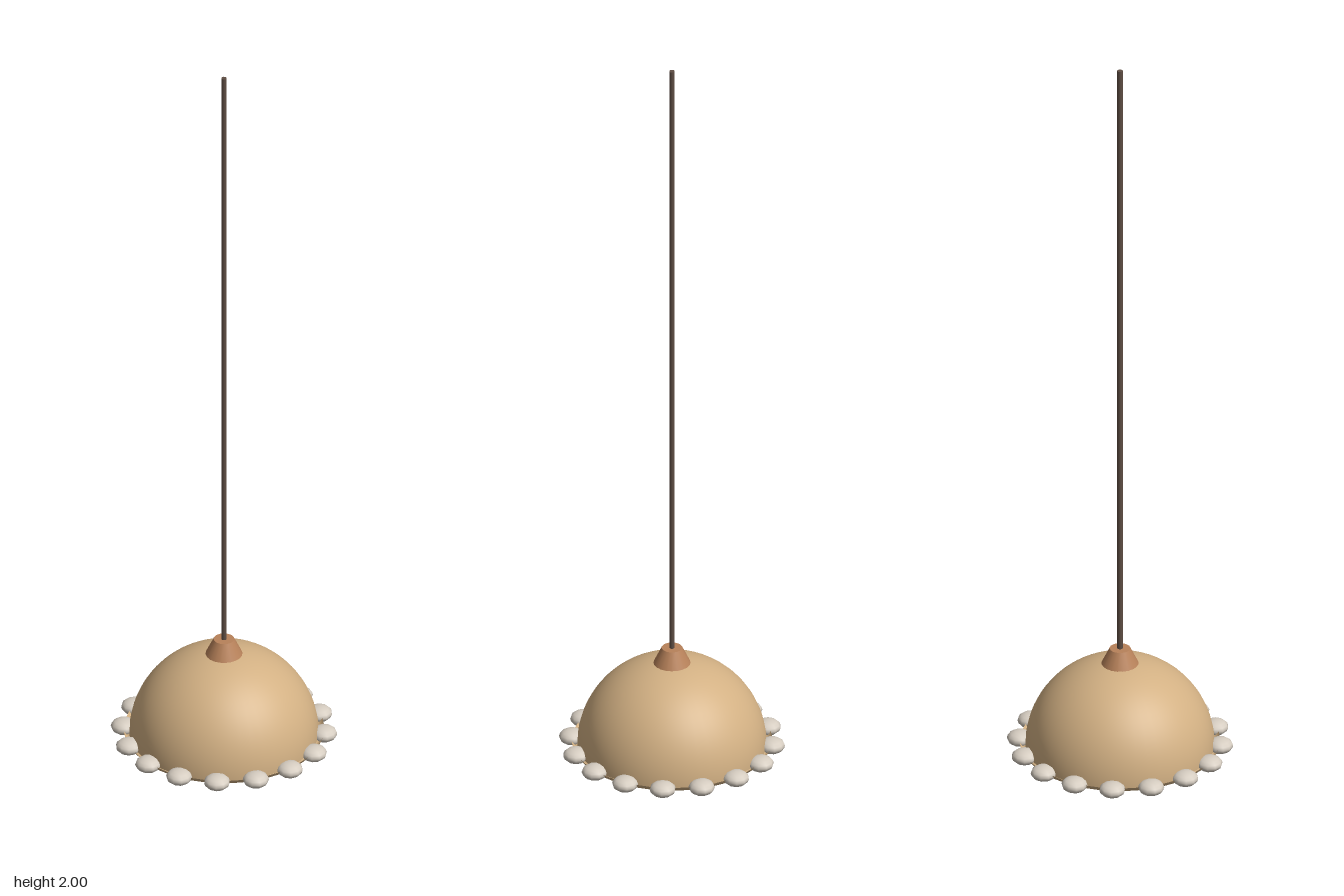
import * as THREE from 'three';

function material(name, color, side = THREE.FrontSide) {
  const m = new THREE.MeshStandardMaterial({ color, side });
  m.name = name;
  return m;
}

export function createModel() {
  const model = new THREE.Group();
  model.name = 'pendantLamp';

  const tan = material('tan shade', 0xd2b083, THREE.DoubleSide);
  const copper = material('copper', 0xb8825a);
  const brown = material('dark brown', 0x5f4e44);
  const cream = material('cream', 0xd6cdc1);

  const add = (name, geometry, mat, y = 0, parent = model) => {
    const mesh = new THREE.Mesh(geometry, mat);
    mesh.name = name;
    mesh.position.y = y;
    parent.add(mesh);
    return mesh;
  };

  const rimY = 0.08;

  // Hanging rod and the tapered cap it enters
  add('rod', new THREE.CylinderGeometry(0.007, 0.007, 1.66, 12), brown, 1.17);
  add('cap', new THREE.CylinderGeometry(0.026, 0.05, 0.05, 20), copper, 0.33);

  // Hemispherical shade
  add('shade', new THREE.SphereGeometry(0.237, 48, 24, 0, Math.PI * 2, 0, Math.PI / 2), tan, rimY);

  // Small lip turned up around the shade's edge
  const lip = [[0.237, 0.003], [0.243, 0], [0.251, 0.012]].map(([r, y]) => new THREE.Vector2(r, y));
  add('lip', new THREE.LatheGeometry(lip, 48), tan, rimY);

  // Flat underside
  const underside = new THREE.CircleGeometry(0.243, 48).rotateX(Math.PI / 2);
  add('underside', underside, tan, rimY);

  // Bulb showing below the underside
  add('bulb', new THREE.SphereGeometry(0.074, 24, 16), cream, 0.074);

  // Ring of flattened beads
  const beads = new THREE.Group();
  beads.name = 'beads';
  const beadGeometry = new THREE.SphereGeometry(0.033, 10, 8).scale(1, 0.58, 1);
  const count = 16;
  for (let i = 0; i < count; i++) {
    const angle = (i / count) * Math.PI * 2;
    const bead = add('bead', beadGeometry, cream, 0.089, beads);
    bead.position.x = Math.cos(angle) * 0.251;
    bead.position.z = Math.sin(angle) * 0.251;
    bead.rotation.y = Math.PI - angle;
  }
  model.add(beads);

  return model;
}
